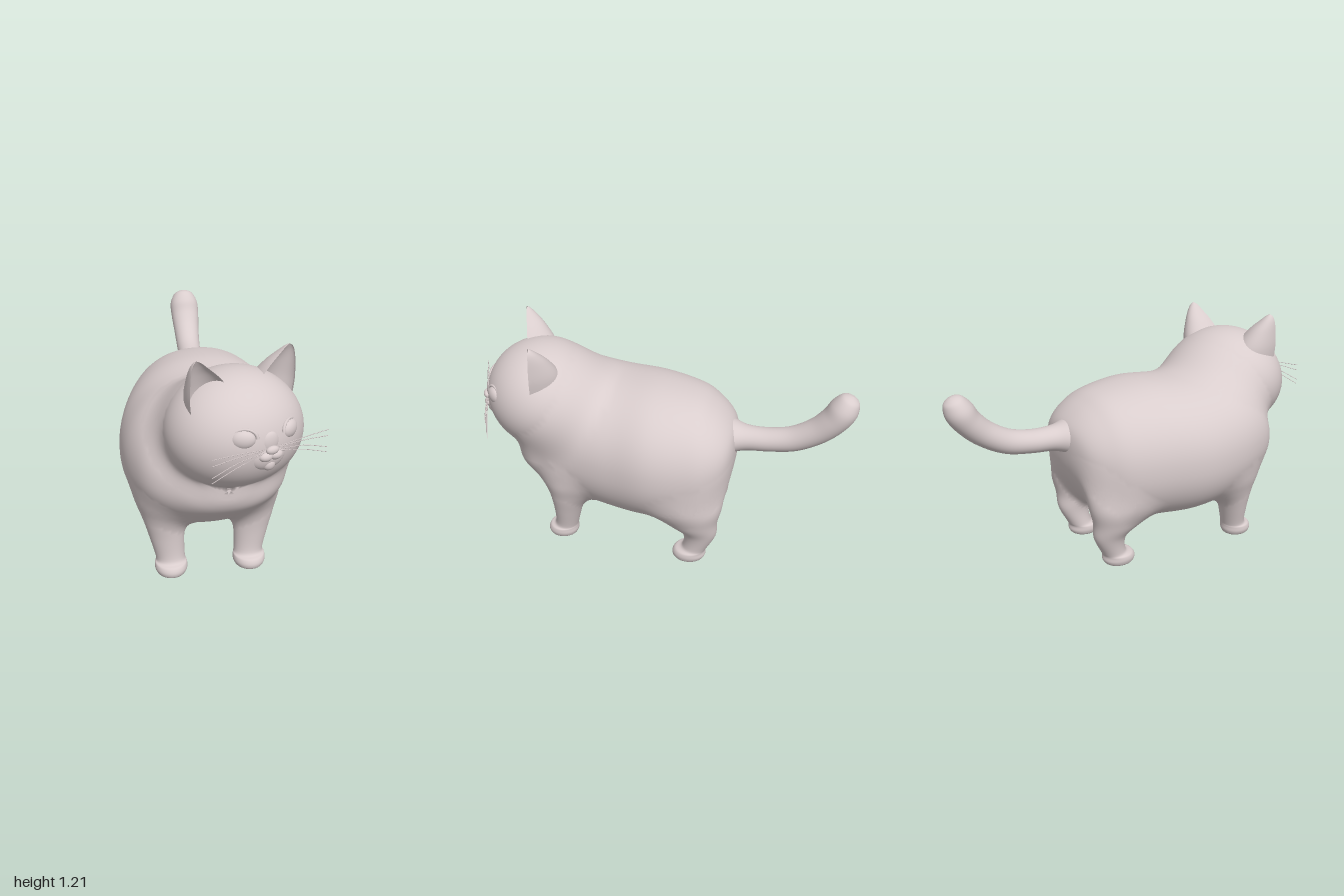
import * as THREE from 'three';

const fur = new THREE.MeshStandardMaterial({ color: 0xd9cdcd });
fur.name = 'pale fur';

function add(parent, name, geometry) {
  const mesh = new THREE.Mesh(geometry, fur);
  mesh.name = name;
  parent.add(mesh);
  return mesh;
}

const ballGeometry = (radii, detail = 20) => new THREE.SphereGeometry(1, detail * 2, detail).scale(...radii);

function ball(parent, name, [x, y, z], radii) {
  const mesh = add(parent, name, ballGeometry(radii));
  mesh.position.set(x, y, z);
  return mesh;
}

// Smoothed oval rings through sections [x, y, z, radiusX, radiusV, tilt], front to back or bottom to top.
// Tilt turns each ring about x: 0 is upright, PI / 2 is level.
function makeRings(sections, steps = 6) {
  const rings = [];
  const last = sections.length - 1;
  const at = (i, k) => sections[Math.min(last, Math.max(0, i))][k];
  for (let n = 0; n <= last * steps; n++) {
    const i = Math.min(last - 1, Math.floor(n / steps)), t = n / steps - i;
    rings.push([0, 1, 2, 3, 4, 5].map((k) => {
      const a = at(i - 1, k), b = at(i, k), c = at(i + 1, k), d = at(i + 2, k);
      const value = b + 0.5 * t * (c - a + t * (2 * a - 5 * b + 4 * c - d + t * (3 * (b - c) + d - a)));
      return k === 3 || k === 4 ? Math.max(0, value) : value;
    }));
  }
  return rings;
}

// Skin over rings; hollow scoops out the front half
function loft(rings, { power = 2, hollow = false, sides = 48 } = {}) {
  const round = (v) => Math.sign(v) * Math.abs(v) ** (2 / power);
  const points = [], index = [];
  rings.forEach(([x, y, z, ru, rv, tilt], i) => {
    for (let j = 0; j < sides; j++) {
      const angle = (j / sides) * Math.PI * 2;
      let v = rv * round(Math.sin(angle));
      if (hollow && v > 0) v *= -0.5;
      points.push(x + ru * round(Math.cos(angle)), y + v * Math.cos(tilt), z + v * Math.sin(tilt));
      if (i === rings.length - 1) continue;
      const a = i * sides + j, c = i * sides + (j + 1) % sides;
      index.push(a, a + sides, c, c, a + sides, c + sides);
    }
  });
  const geometry = new THREE.BufferGeometry();
  geometry.setAttribute('position', new THREE.Float32BufferAttribute(points, 3));
  geometry.setIndex(index);
  geometry.computeVertexNormals();
  return geometry;
}

// Approximate distance to an oval or ellipsoid, given offsets and radii
function ovalDistance(offsets, radii, power = 2) {
  const q = offsets.reduce((s, o, i) => s + Math.abs(o / radii[i]) ** power, 0) ** (1 / power);
  return q * (q - 1) / (Math.hypot(...offsets.map((o, i) => o / radii[i] ** 2)) + 1e-6);
}

// Distance to a lofted part whose rings step along one axis: 1 for y, 2 for z
function loftDistance(rings, axis, power) {
  const across = 3 - axis;
  return (p) => {
    const h = p.getComponent(axis);
    const i = rings.findIndex((r, n) => n > 0 && (h - r[axis]) * (h - rings[n - 1][axis]) <= 0);
    if (i < 0) return 1;
    const a = rings[i - 1], b = rings[i], t = (h - a[axis]) / (b[axis] - a[axis] || 1);
    const mix = (k) => a[k] + (b[k] - a[k]) * t;
    return ovalDistance([p.x - mix(0), p.getComponent(across) - mix(across)], [mix(3) + 1e-4, mix(4) + 1e-4], power);
  };
}

// Push the skin out where parts meet, so that they flow into each other
function blend(geometry, fields, width = 0.09) {
  const field = (p) => fields.map((f) => f(p)).reduce((a, b) => {
    const h = Math.max(0, width - Math.abs(a - b)) / width;
    return Math.min(a, b) - h * h * width / 4;
  });
  const { position, normal } = geometry.attributes;
  const p = new THREE.Vector3(), slope = new THREE.Vector3(), e = 0.002;
  for (let i = 0; i < position.count; i++) {
    p.fromBufferAttribute(position, i);
    const depth = field(p);
    if (depth > -0.001 || depth < -0.045) continue;
    for (let n = 0; n < 4; n++) {
      const value = field(p);
      for (let k = 0; k < 3; k++) {
        const q = p.clone();
        slope.setComponent(k, (field(q.setComponent(k, q.getComponent(k) + e)) - value) / e);
      }
      const size = Math.max(slope.length(), 0.3);
      p.addScaledVector(slope.normalize(), THREE.MathUtils.clamp(-value / size, -0.02, 0.02));
    }
    position.setXYZ(i, p.x, p.y, p.z);
    normal.setXYZ(i, slope.x, slope.y, slope.z);
  }
}

// Face, ears and whiskers, in the turned frame of the head
function buildFace(head) {
  ball(head, 'muzzle', [0, -0.03, 0.262], [0.1, 0.075, 0.042]);
  ball(head, 'noseBridge', [0, 0.03, 0.282], [0.045, 0.052, 0.02]);
  ball(head, 'nose', [0, 0.003, 0.303], [0.032, 0.02, 0.018]);
  ball(head, 'chin', [0, -0.073, 0.281], [0.032, 0.03, 0.024]);

  for (const side of [-1, 1]) {
    const label = side > 0 ? 'left' : 'right';
    ball(head, label + 'Lip', [side * 0.026, -0.027, 0.293], [0.035, 0.023, 0.024]);

    const eye = ball(head, label + 'Eye', [side * 0.122, 0.058, 0.252], [0.056, 0.043, 0.03]);
    eye.rotation.y = side * 0.48;
    const lid = add(head, label + 'Eyelid',
      new THREE.TorusGeometry(0.06, 0.008, 8, 24, Math.PI).scale(1, 0.78, 1));
    lid.position.set(side * 0.122, 0.058, 0.258);
    lid.rotation.set(-0.2, side * 0.48, 0);

    const ear = [
      [0.15, 0.12, 0.075, 0.12, 0.17], [0.172, 0.2, 0.075, 0.107, 0.15], [0.204, 0.28, 0.073, 0.073, 0.1],
      [0.229, 0.33, 0.07, 0.042, 0.055], [0.24, 0.358, 0.068, 0.02, 0.024], [0.244, 0.37, 0.062, 0, 0],
    ].map(([x, ...rest]) => [side * x, ...rest, Math.PI / 2]);
    add(head, label + 'Ear', loft(makeRings(ear), { hollow: true }));

    for (const [start, middle, end] of [[0.01, 0.024, 0.03], [0.005, 0.01, 0], [-0.005, -0.015, -0.055], [-0.01, -0.035, -0.08]]) {
      const path = new THREE.CatmullRomCurve3([
        new THREE.Vector3(side * 0.04, start, 0.298),
        new THREE.Vector3(side * 0.17, middle, 0.303),
        new THREE.Vector3(side * 0.305, end, 0.303),
      ]);
      add(head, label + 'Whisker', new THREE.TubeGeometry(path, 12, 0.0018, 5));
    }
  }
}

// Leg sections: [y, x from the pair's centre line, z, radiusX, radiusZ]
const frontLeg = [
  [0, 0.2, 0.515, 0, 0], [0.005, 0.2, 0.52, 0.06, 0.065], [0.03, 0.2, 0.52, 0.08, 0.083],
  [0.06, 0.2, 0.515, 0.08, 0.078], [0.085, 0.2, 0.497, 0.073, 0.064], [0.2, 0.215, 0.48, 0.088, 0.078],
  [0.32, 0.227, 0.465, 0.107, 0.105], [0.42, 0.215, 0.46, 0.125, 0.12], [0.55, 0.175, 0.45, 0.11, 0.11],
  [0.65, 0.15, 0.45, 0, 0],
];
const backLeg = [
  [0, 0.19, -0.21, 0, 0], [0.005, 0.19, -0.205, 0.06, 0.07], [0.03, 0.19, -0.207, 0.078, 0.09],
  [0.06, 0.19, -0.213, 0.078, 0.083], [0.085, 0.19, -0.24, 0.067, 0.068], [0.18, 0.2, -0.262, 0.074, 0.09],
  [0.27, 0.21, -0.22, 0.105, 0.137], [0.38, 0.205, -0.19, 0.135, 0.19], [0.52, 0.16, -0.185, 0.13, 0.2],
  [0.65, 0.12, -0.17, 0.1, 0.16], [0.75, 0.1, -0.15, 0, 0],
];

export function createModel() {
  const cat = new THREE.Group();
  cat.name = 'cat';
  const parts = [];

  // Plump body, from chest to rump
  const bodyRings = makeRings([
    [0, 0.55, 0.748, 0, 0, 0], [0, 0.55, 0.74, 0.1, 0.06, 0], [0, 0.565, 0.71, 0.22, 0.13, 0],
    [-0.02, 0.59, 0.645, 0.315, 0.22, 0], [-0.04, 0.6, 0.55, 0.36, 0.31, 0], [-0.05, 0.59, 0.4, 0.39, 0.36, 0],
    [-0.03, 0.57, 0.2, 0.41, 0.37, 0], [0.01, 0.575, 0, 0.41, 0.37, 0], [0.03, 0.57, -0.2, 0.365, 0.345, 0],
    [0.045, 0.585, -0.3, 0.315, 0.28, 0], [0.055, 0.615, -0.375, 0.235, 0.185, 0], [0.065, 0.64, -0.41, 0.13, 0.1, 0],
    [0.065, 0.65, -0.42, 0, 0, 0],
  ]);
  parts.push(['body', loft(bodyRings, { power: 2.15, sides: 80 }), loftDistance(bodyRings, 2, 2.15)]);

  const neckCentre = new THREE.Vector3(0.01, 0.74, 0.47), neckSize = [0.3, 0.252, 0.255];
  parts.push(['neck', ballGeometry(neckSize, 36).translate(...neckCentre),
    (p) => ovalDistance(p.clone().sub(neckCentre).toArray(), neckSize)]);

  for (const [name, centre, rows] of [['FrontLeg', -0.035, frontLeg], ['BackLeg', 0.035, backLeg]]) {
    for (const side of [-1, 1]) {
      const rings = makeRings(rows.map(([y, x, z, rx, rz]) => [centre + side * x, y, z, rx, rz, Math.PI / 2]));
      parts.push([(side > 0 ? 'left' : 'right') + name, loft(rings), loftDistance(rings, 1)]);
    }
  }

  // Head, turned to its left; the skull is wider at the cheeks than at the crown
  const head = new THREE.Group();
  head.name = 'head';
  head.position.set(0.047, 0.838, 0.61);
  head.rotation.set(0, 0.36, -0.025);
  head.updateMatrix();
  const toHead = head.matrix.clone().invert();
  const skullSize = [0.335, 0.275, 0.298];
  const skull = ballGeometry(skullSize, 40);
  const spots = skull.attributes.position;
  for (let i = 0; i < spots.count; i++) spots.setX(i, spots.getX(i) * (1 - 0.2 * spots.getY(i)));
  parts.push(['skull', skull.applyMatrix4(head.matrix), (p) => {
    const { x, y, z } = p.clone().applyMatrix4(toHead);
    return ovalDistance([x / (1 - 0.2 * y), y, z], skullSize);
  }]);
  buildFace(head);
  cat.add(head);

  const fields = parts.map(([, , distance]) => distance);
  for (const [name, geometry] of parts) {
    blend(geometry, fields);
    add(cat, name, geometry);
  }

  // Tail curving up to a rounded tip
  add(cat, 'tail', loft(makeRings([
    [0.06, 0.69, -0.34, 0.14, 0.12, 0], [0.055, 0.695, -0.4, 0.1, 0.083, 0], [0.065, 0.7, -0.47, 0.072, 0.064, 0],
    [0.072, 0.708, -0.58, 0.067, 0.06, 0.1], [0.08, 0.735, -0.7, 0.068, 0.063, 0.35],
    [0.088, 0.8, -0.81, 0.074, 0.066, 0.65], [0.092, 0.875, -0.885, 0.082, 0.07, 0.95],
    [0.092, 0.94, -0.925, 0.082, 0.072, 1.1], [0.092, 0.99, -0.948, 0.058, 0.053, 1.15],
    [0.092, 1.008, -0.956, 0.03, 0.028, 1.15], [0.092, 1.014, -0.959, 0, 0, 1.15],
  ])));

  return cat;
}
